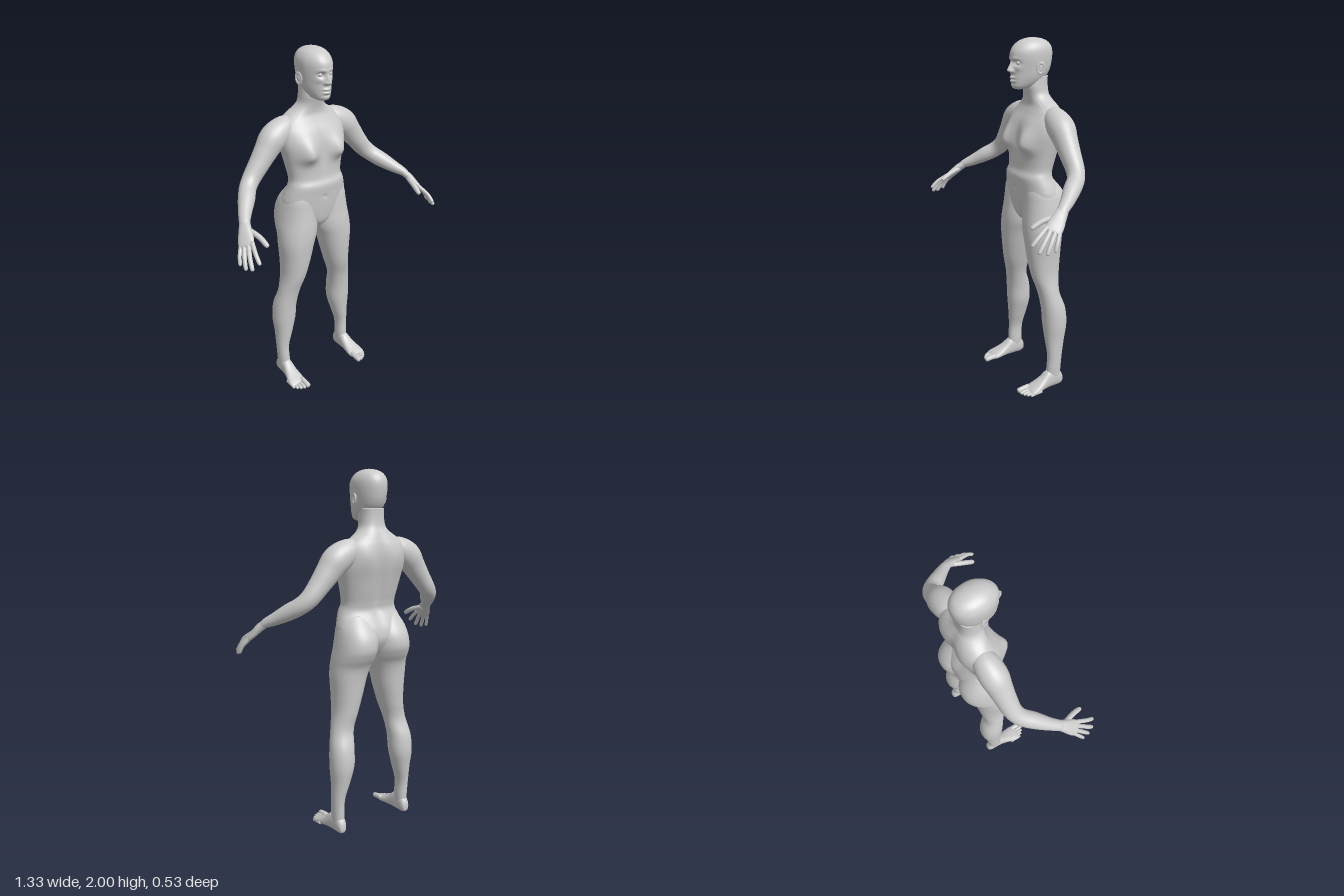
import * as THREE from 'three';

const V = (x, y, z) => new THREE.Vector3(x, y, z);
const bump = (a, b) => Math.exp(-a * a - b * b);

// Catmull-Rom resampling of rows of numbers
function smooth(rows, perSpan) {
  const out = [], m = rows.length - 1, n = m * perSpan;
  for (let k = 0; k <= n; k++) {
    const i = Math.min(Math.floor(k / perSpan), m - 1), t = k / perSpan - i;
    const [a, b, c, d] = [-1, 0, 1, 2].map(o => rows[Math.min(Math.max(i + o, 0), m)]);
    out.push(b.map((q, j) => q + 0.5 * t * (c[j] - a[j]
      + t * (2 * a[j] - 5 * q + 4 * c[j] - d[j] + t * (3 * (q - c[j]) + d[j] - a[j])))));
  }
  return out;
}

// Closed skin over equal rings of points, capped at both ends
function skin(rings) {
  const n = rings[0].length, pos = [], idx = [];
  rings.forEach(r => r.forEach(p => pos.push(p.x, p.y, p.z)));
  for (let i = 0; i < rings.length - 1; i++) for (let j = 0; j < n; j++) {
    const a = i * n + j, b = i * n + (j + 1) % n;
    idx.push(a, b, a + n, b, b + n, a + n);
  }
  [0, rings.length - 1].forEach((k, end) => {
    const c = rings[k].reduce((s, p) => s.add(p), V(0, 0, 0)).divideScalar(n);
    const at = pos.length / 3;
    pos.push(c.x, c.y, c.z);
    for (let j = 0; j < n; j++) {
      const a = k * n + j, b = k * n + (j + 1) % n;
      end ? idx.push(a, b, at) : idx.push(b, a, at);
    }
  });
  const g = new THREE.BufferGeometry();
  g.setAttribute('position', new THREE.Float32BufferAttribute(pos, 3));
  g.setIndex(idx);
  g.computeVertexNormals();
  return g;
}

// Superellipse outline in unit size
function outline(seg, e) {
  const f = c => Math.sign(c) * Math.abs(c) ** (2 / e);
  return Array.from({ length: seg }, (_, j) => {
    const a = j / seg * Math.PI * 2;
    return [f(Math.cos(a)), f(Math.sin(a))];
  });
}

// Loft along y (rows: y, x0, x1, z0, z1) or along z (rows: z, x0, x1, y0, y1)
function stack(rows, { axis = 'y', e = 2, seg = 48, per = 6, warp } = {}) {
  const ring = outline(seg, e);
  return skin(smooth(rows, per).map(([t, x0, x1, a, b]) => ring.map(([c, s]) => {
    const x = (x0 + x1) / 2 + c * (x1 - x0) / 2;
    const p = axis === 'y' ? V(x, t, (a + b) / 2 - s * (b - a) / 2) : V(x, (a + b) / 2 + s * (b - a) / 2, t);
    if (warp) warp(p);
    return p;
  })));
}

// Loft along a free path (rows: x, y, z, radius across, radius through)
const across = V(0.6, -0.3, -0.74).normalize();
function limb(rows, { w = across, seg = 24, per = 6, e = 2 } = {}) {
  const r = smooth(rows, per), ring = outline(seg, e), P = r.map(q => V(q[0], q[1], q[2]));
  return skin(r.map((q, i) => {
    const d = P[Math.min(i + 1, P.length - 1)].clone().sub(P[Math.max(i - 1, 0)]).normalize();
    const u = w.clone().addScaledVector(d, -w.dot(d)).normalize(), v = d.clone().cross(u);
    return ring.map(([c, s]) => P[i].clone().addScaledVector(u, c * q[3]).addScaledVector(v, s * q[4]));
  }));
}

// Finger or toe: gently bent, with a rounded tip
function digit(a, m, b, r, w) {
  const near = m.clone().lerp(b, 0.85);
  const rows = [[a, 1], [m, 1], [near, 0.85], [b, 0.12]];
  return limb(rows.map(([p, k]) => [p.x, p.y, p.z, r * k, r * k]), { w, seg: 14, per: 5 });
}

function mirrored(g) {
  const h = g.clone().scale(-1, 1, 1), ix = h.index.array;
  for (let i = 0; i < ix.length; i += 3) [ix[i], ix[i + 1]] = [ix[i + 1], ix[i]];
  h.computeVertexNormals();
  return h;
}

// Breasts, spine groove and shoulder blades
function shapeTorso(p) {
  const x = Math.abs(p.x);
  if (p.z > -0.09) {
    p.z += 0.045 * bump((x - 0.1) / 0.05, (p.y - 1.445) / (p.y > 1.445 ? 0.08 : 0.045));
    p.z -= 0.008 * bump(x / 0.02, (p.y - 1.46) / 0.1);
    p.z -= 0.008 * bump(x / 0.012, (p.y - 1.19) / 0.012);
  } else {
    p.z += 0.02 * bump(x / 0.03, (p.y - 1.42) / 0.2);
    p.z -= 0.01 * bump((x - 0.1) / 0.05, (p.y - 1.55) / 0.08);
  }
}

// Face features pushed in and out of the front of the skull
function shapeHead(p) {
  const x = Math.abs(p.x), y = p.y;
  if (p.z < -0.06) return;
  p.x *= 1 - 0.1 * Math.min(1, (p.z + 0.06) / 0.08);
  const noseWidth = 0.009 + 0.008 * Math.max(0, Math.min(1, (1.88 - y) / 0.05));
  p.z += 0.03 * bump(x / noseWidth, (y - 1.832) / (y > 1.832 ? 0.034 : 0.01))
    + 0.009 * bump((x - 0.016) / 0.008, (y - 1.829) / 0.009)
    - 0.017 * bump((x - 0.034) / 0.017, (y - 1.872) / 0.013)
    + 0.005 * bump((x - 0.03) / 0.025, (y - 1.893) / 0.009)
    + 0.012 * bump(x / 0.024, (y - 1.796) / 0.007)
    + 0.011 * bump(x / 0.021, (y - 1.778) / 0.007)
    - 0.004 * bump(x / 0.025, (y - 1.787) / 0.003)
    - 0.004 * bump(x / 0.025, (y - 1.764) / 0.006)
    + 0.006 * bump((x - 0.045) / 0.018, (y - 1.845) / 0.015);
}

export function createModel() {
  const model = new THREE.Group();
  const skinMat = new THREE.MeshStandardMaterial({ color: 0xcccccc });
  const add = (name, g, parent = model) => {
    const mesh = new THREE.Mesh(g, skinMat);
    mesh.name = name;
    parent.add(mesh);
  };
  const even = rows => rows.map(([t, h, a, b]) => [t, -h, h, a, b]);

  // Torso and neck
  add('torso', stack(even([
    [0.985, 0.02, -0.14, -0.05], [1.03, 0.1, -0.19, -0.015], [1.1, 0.19, -0.23, 0], [1.16, 0.203, -0.228, 0.007],
    [1.21, 0.192, -0.207, 0.012], [1.26, 0.174, -0.182, 0.016], [1.3, 0.164, -0.185, 0.002], [1.36, 0.173, -0.2, 0],
    [1.43, 0.188, -0.216, 0], [1.5, 0.202, -0.23, -0.004], [1.56, 0.2, -0.234, -0.022], [1.61, 0.18, -0.228, -0.05],
    [1.645, 0.145, -0.216, -0.066], [1.675, 0.1, -0.203, -0.066], [1.705, 0.074, -0.19, -0.06],
    [1.75, 0.067, -0.184, -0.05], [1.8, 0.064, -0.184, -0.06],
  ]), { e: 2.3, seg: 96, per: 6, warp: shapeTorso }));

  // Head with face
  add('head', stack(even([
    [1.733, 0.022, -0.05, 0.004], [1.739, 0.038, -0.075, 0.017], [1.752, 0.051, -0.11, 0.025], [1.775, 0.064, -0.15, 0.026],
    [1.805, 0.074, -0.182, 0.026], [1.84, 0.08, -0.2, 0.026], [1.88, 0.085, -0.209, 0.03], [1.92, 0.086, -0.212, 0.03],
    [1.95, 0.08, -0.206, 0.016], [1.975, 0.064, -0.188, -0.01], [1.99, 0.042, -0.16, -0.04],
    [1.997, 0.022, -0.13, -0.067], [2, 0.002, -0.1, -0.096],
  ]), { e: 2.15, seg: 128, per: 9, warp: shapeHead }));

  const sides = [];
  const pair = (name, g) => sides.push([name, g]);

  // Eyes and ears
  pair('eye', new THREE.SphereGeometry(0.0125, 20, 14).translate(0.033, 1.872, 0.004));
  const placeEar = g => g.scale(0.6, 1.5, 1).rotateX(-0.15).rotateY(-0.3).translate(0.089, 1.845, -0.097);
  pair('ear', placeEar(new THREE.SphereGeometry(0.019, 20, 14).scale(0.6, 1, 1)));
  pair('earRim', placeEar(new THREE.TorusGeometry(0.018, 0.0055, 10, 28).rotateY(Math.PI / 2).translate(0.011, 0, 0)));

  // Legs, including hips and buttocks
  pair('leg', stack([
    [0.03, 0.202, 0.254, -0.165, -0.085], [0.1, 0.195, 0.261, -0.166, -0.078], [0.2, 0.194, 0.265, -0.172, -0.083],
    [0.3, 0.166, 0.267, -0.19, -0.075], [0.4, 0.14, 0.275, -0.206, -0.066], [0.5, 0.134, 0.27, -0.198, -0.059],
    [0.6, 0.119, 0.25, -0.167, -0.044], [0.7, 0.089, 0.231, -0.177, -0.015], [0.8, 0.06, 0.23, -0.189, 0.001],
    [0.9, 0.033, 0.236, -0.2, 0.01], [0.96, 0.012, 0.234, -0.214, 0.012], [1.01, 0.001, 0.23, -0.243, 0.01],
    [1.06, -0.002, 0.223, -0.262, 0.005], [1.12, -0.002, 0.213, -0.256, 0], [1.18, 0.008, 0.198, -0.224, -0.005],
    [1.24, 0.03, 0.165, -0.175, -0.02],
  ], { e: 2.15, seg: 56 }));

  // Feet and toes
  pair('foot', stack([
    [-0.182, 0.222, 0.234, 0.025, 0.045], [-0.176, 0.208, 0.248, 0.01, 0.07], [-0.155, 0.2, 0.256, 0.001, 0.1],
    [-0.12, 0.197, 0.259, 0, 0.118], [-0.08, 0.195, 0.263, 0, 0.108], [-0.04, 0.191, 0.272, 0.001, 0.076],
    [0, 0.186, 0.284, 0, 0.052], [0.03, 0.185, 0.289, 0, 0.038], [0.048, 0.19, 0.285, 0.003, 0.028],
    [0.056, 0.2, 0.275, 0.009, 0.02],
  ], { axis: 'z', e: 2.3, seg: 40 }));
  [[0.203, 0.108, 0.0155], [0.227, 0.103, 0.0105], [0.246, 0.094, 0.01], [0.263, 0.08, 0.0095], [0.278, 0.062, 0.009]]
    .forEach(([x, tip, r]) => pair('toe', digit(V(x, r + 0.008, tip - 0.075), V(x, r + 0.004, tip - 0.03),
      V(x, r - 0.001, tip), r, V(1, 0, 0))));

  // Arms from the shoulder to the wrist
  pair('arm', limb([
    [0.1, 1.6, -0.142, 0.04, 0.045], [0.165, 1.58, -0.142, 0.066, 0.068], [0.235, 1.54, -0.139, 0.074, 0.076],
    [0.285, 1.482, -0.136, 0.064, 0.067], [0.335, 1.42, -0.132, 0.056, 0.057], [0.39, 1.355, -0.125, 0.049, 0.05],
    [0.432, 1.315, -0.1, 0.046, 0.046], [0.473, 1.28, -0.05, 0.045, 0.044], [0.52, 1.242, 0.008, 0.036, 0.034],
    [0.552, 1.217, 0.053, 0.03, 0.025], [0.568, 1.196, 0.078, 0.028, 0.018],
  ], { seg: 40 }));

  // Palm, fingers and thumb
  pair('palm', limb([
    [0.545, 1.224, 0.043, 0.025, 0.02], [0.57, 1.192, 0.084, 0.034, 0.021], [0.59, 1.157, 0.12, 0.043, 0.017],
    [0.603, 1.133, 0.145, 0.042, 0.013], [0.606, 1.127, 0.151, 0.034, 0.007],
  ], { e: 2.3 }));
  [[-0.032, 0.602, 1.075, 0.264], [-0.011, 0.634, 1.043, 0.243], [0.011, 0.65, 1.036, 0.207], [0.031, 0.658, 1.046, 0.166]]
    .forEach(([k, x, y, z], i) => {
      const base = V(0.598, 1.142, 0.136).addScaledVector(across, k), tip = V(x, y, z);
      const mid = base.clone().lerp(tip, 0.55).add(V(0.006, 0.005, 0.003));
      pair('finger', digit(base, mid, tip, [0.0115, 0.012, 0.0115, 0.01][i], across));
    });
  pair('thumb', digit(V(0.558, 1.19, 0.09), V(0.537, 1.168, 0.163), V(0.527, 1.135, 0.225), 0.0145, V(1, 0, 0)));

  // Both sides of every paired part
  const left = new THREE.Group(), right = new THREE.Group();
  left.name = 'leftSide';
  right.name = 'rightSide';
  model.add(left, right);
  sides.forEach(([name, g]) => {
    add(name, g, left);
    add(name, mirrored(g), right);
  });
  return model;
}
